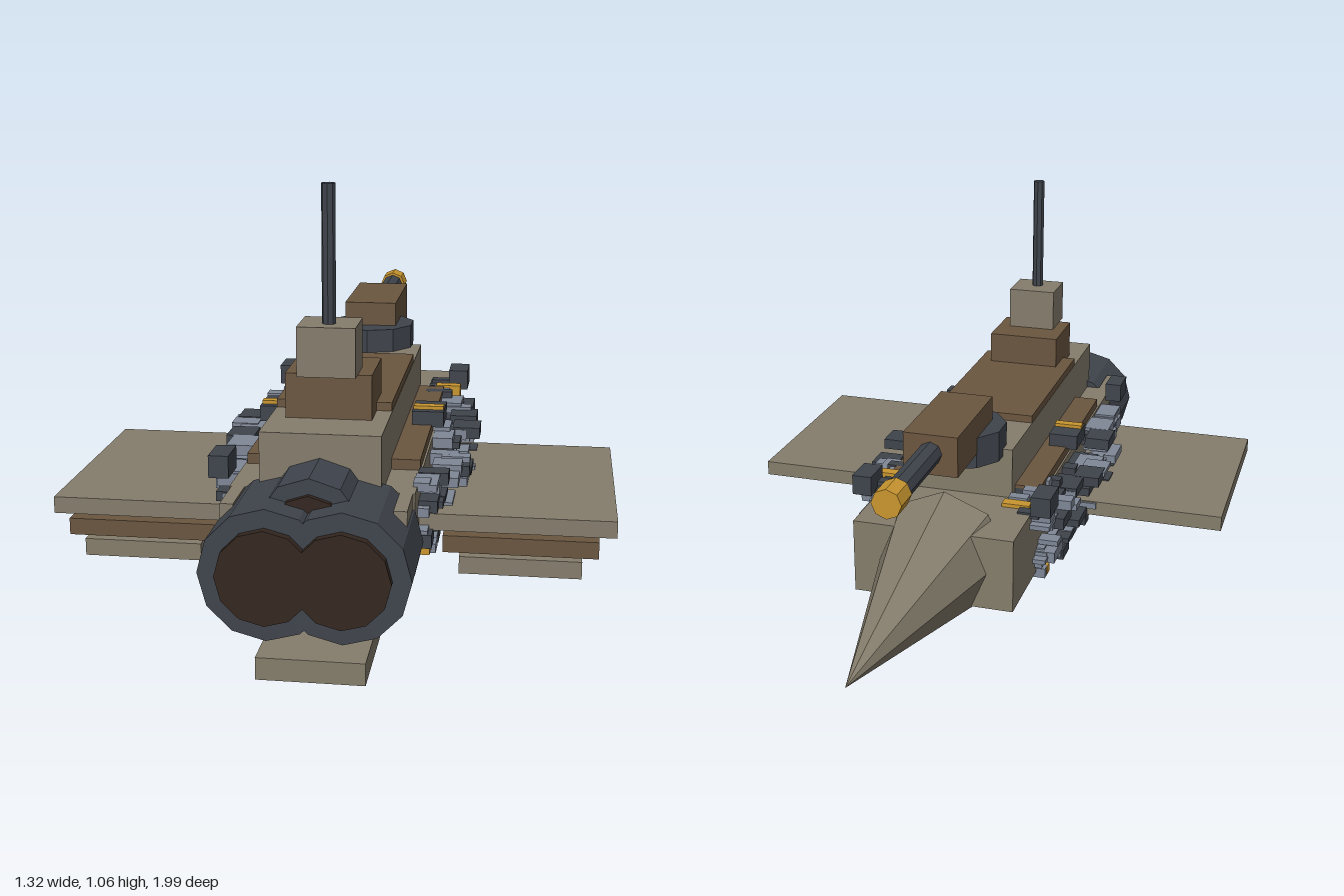
import * as THREE from 'three';

const mat = (color) => new THREE.MeshStandardMaterial({ color, flatShading: true });

export function createModel() {
  const ship = new THREE.Group();
  ship.name = 'spaceship';
  const khaki = mat(0x857d6c), brown = mat(0x6b5640), dark = mat(0x3f444c);
  const glow = mat(0x33261f), gold = mat(0xc9962f), grey = mat(0x7f8796);

  // Box given by its extents along x, y and z
  function box(name, m, x0, x1, y0, y1, z0, z1, parent = ship) {
    const mesh = new THREE.Mesh(new THREE.BoxGeometry(x1 - x0, y1 - y0, z1 - z0), m);
    mesh.position.set((x0 + x1) / 2, (y0 + y1) / 2, (z0 + z1) / 2);
    mesh.name = name;
    parent.add(mesh);
    return mesh;
  }
  // Same box on both flanks
  function pair(name, m, x0, x1, ...rest) {
    box(name + 'Left', m, x0, x1, ...rest);
    box(name + 'Right', m, -x1, -x0, ...rest);
  }
  // Cylinder lying along z
  function tubeZ(name, m, r, x, y, z0, z1, sides) {
    const geo = new THREE.CylinderGeometry(r, r, z1 - z0, sides).rotateX(Math.PI / 2);
    const mesh = new THREE.Mesh(geo, m);
    mesh.position.set(x, y, (z0 + z1) / 2);
    mesh.name = name;
    ship.add(mesh);
  }
  // Upright cylinder
  function post(name, m, r, y0, y1, z, sides) {
    const mesh = new THREE.Mesh(new THREE.CylinderGeometry(r, r, y1 - y0, sides), m);
    mesh.position.set(0, (y0 + y1) / 2, z);
    mesh.name = name;
    ship.add(mesh);
  }

  // Hull and decks
  box('hull', khaki, -0.21, 0.21, 0.19, 0.385, -0.4, 0.74);
  box('hullDeck', brown, -0.205, 0.205, 0.385, 0.41, -0.12, 0.57);
  box('superstructure', khaki, -0.137, 0.137, 0.385, 0.52, -0.15, 0.76);
  box('topDeck', brown, -0.136, 0.136, 0.52, 0.54, 0.05, 0.55);
  pair('sternRail', khaki, 0.175, 0.205, 0.345, 0.385, 0.7, 0.86);

  // Pointed prow
  const prow = new THREE.Mesh(
    new THREE.ConeGeometry(0.165, 0.69, 8).rotateX(-Math.PI / 2), khaki);
  prow.position.set(0, 0.285, -0.645);
  prow.name = 'prow';
  ship.add(prow);

  // Bridge tower and antenna
  box('bridgeBase', brown, -0.1, 0.1, 0.52, 0.625, 0.46, 0.635);
  box('bridgeTower', khaki, -0.067, 0.067, 0.625, 0.74, 0.55, 0.67);
  post('antenna', dark, 0.016, 0.74, 1.057, 0.62, 8);

  // Main gun
  post('gunTurretBase', dark, 0.117, 0.5, 0.582, -0.15, 10);
  box('gunHousing', brown, -0.07, 0.07, 0.54, 0.645, -0.405, -0.105);
  tubeZ('gunBarrel', dark, 0.03, 0, 0.597, -0.7, -0.4, 8);
  tubeZ('gunMuzzle', gold, 0.037, 0, 0.597, -0.715, -0.645, 8);

  // Engines
  for (const s of [-1, 1]) {
    tubeZ('mainEngine', dark, 0.147, s * 0.082, 0.272, 0.735, 0.98, 12);
    tubeZ('mainEngineGlow', glow, 0.106, s * 0.082, 0.272, 0.97, 1.0, 12);
  }
  tubeZ('upperEngine', dark, 0.115, 0, 0.35, 0.74, 0.905, 10);
  tubeZ('upperEngineGlow', glow, 0.08, 0, 0.35, 0.89, 0.918, 10);

  // Stepped wings and belly fins
  pair('wingTop', khaki, 0.2, 0.66, 0.265, 0.305, 0.06, 0.64);
  pair('wingMiddle', brown, 0.265, 0.62, 0.217, 0.257, 0.17, 0.65);
  pair('wingBottom', khaki, 0.303, 0.583, 0.167, 0.208, 0.28, 0.65);
  box('bellyFinFront', khaki, -0.19, 0.19, 0.115, 0.163, 0.26, 0.51);
  box('bellyFinMiddle', brown, -0.155, 0.155, 0.06, 0.107, 0.46, 0.71);
  box('bellyFinRear', khaki, -0.122, 0.122, 0, 0.052, 0.66, 0.91);

  // Deck guns with gold bands, and corner pods
  pair('deckGun', dark, 0.155, 0.235, 0.405, 0.445, 0.17, 0.275);
  pair('deckGunBand', gold, 0.157, 0.233, 0.445, 0.454, 0.23, 0.255);
  pair('bowPod', dark, 0.215, 0.267, 0.39, 0.443, -0.257, -0.17);
  box('sternPod', dark, -0.267, -0.22, 0.39, 0.443, 0.62, 0.705);

  // Machinery clutter along the flanks and belly
  let seed = 7;
  const rnd = (a, b) => {
    seed = (seed * 16807) % 2147483647;
    return a + (b - a) * (seed / 2147483647);
  };
  const clutter = new THREE.Group();
  clutter.name = 'hullMachinery';
  ship.add(clutter);
  const pick = () => { const k = rnd(0, 1); return k < 0.58 ? grey : k < 0.97 ? dark : gold; };
  for (const s of [-1, 1]) {
    for (let i = 0; i < 105; i++) {
      const z = rnd(-0.2, 0.67), y = rnd(0.19, 0.385);
      const len = rnd(0.015, 0.05), h = rnd(0.006, 0.016);
      // Clutter bulges amidships and toward the upper edge
      const bulge = 0.02 + 0.085 * Math.max(0, 1 - ((z - 0.2) / 0.5) ** 2) * (y > 0.27 ? 1 : 0.5);
      const out = 0.215 + bulge * rnd(0.3, 1.1);
      const x0 = Math.max(0.2, out - 0.07);
      box('machineryBlock', pick(), s > 0 ? x0 : -out, s > 0 ? out : -x0,
        y - h, y + h, z - len, z + len, clutter);
    }
    for (let i = 0; i < 45; i++) {
      const x = s * rnd(0.01, 0.23), z = rnd(-0.2, 0.6);
      const w = rnd(0.012, 0.035), len = rnd(0.012, 0.045);
      box('bellyBlock', pick(), x - w, x + w, rnd(0.168, 0.185), 0.2, z - len, z + len, clutter);
    }
    // Row of blocks on the upper ledge ahead of the decks
    for (let i = 0; i < 8; i++) {
      const z = -0.24 + i * 0.03, x = s * rnd(0.16, 0.22), w = rnd(0.02, 0.045);
      box('ledgeBlock', pick(), x - w, x + w, 0.375, rnd(0.39, 0.415), z, z + 0.03, clutter);
    }
  }
  return ship;
}
